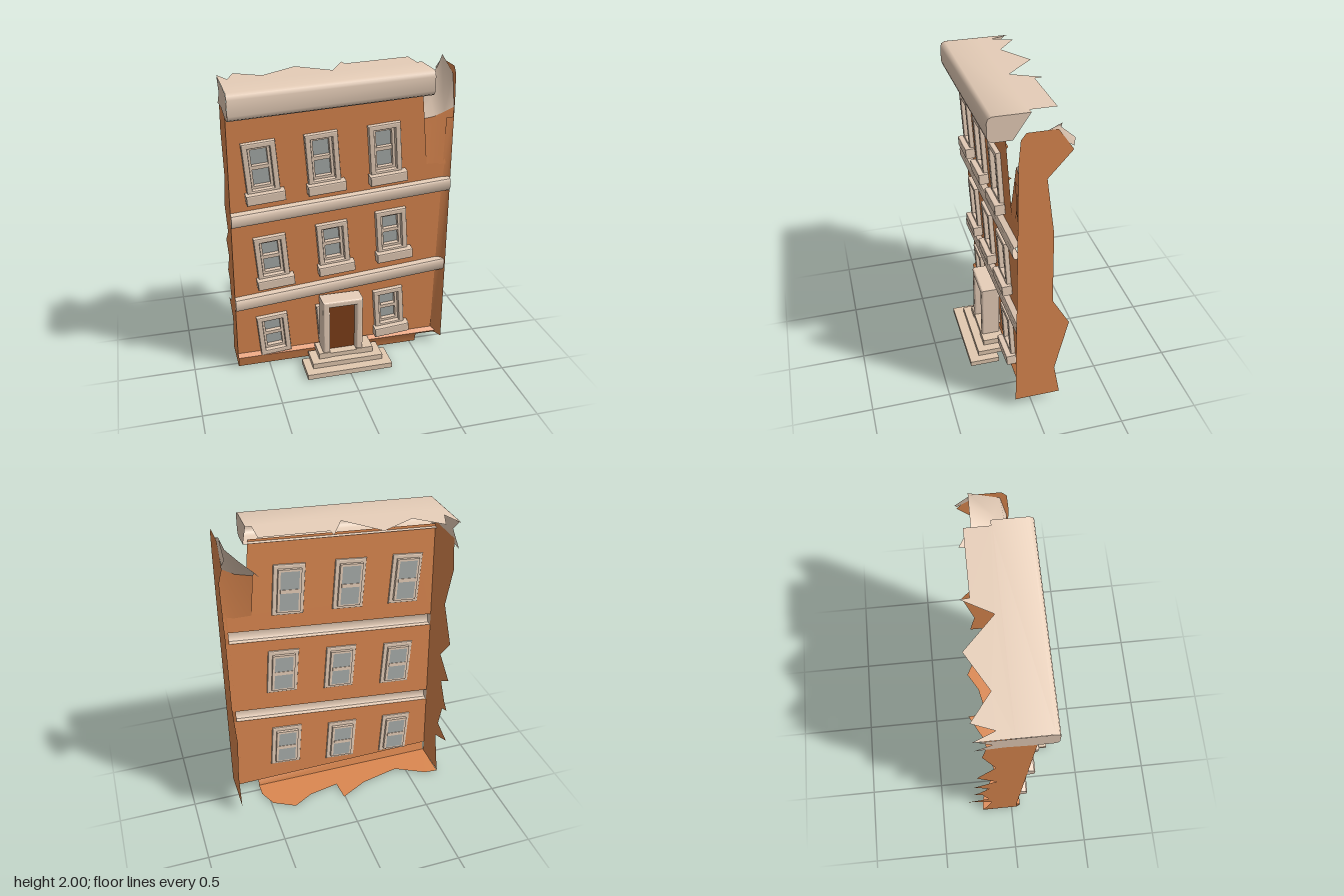
import * as THREE from 'three';
import { toCreasedNormals } from 'three/addons/utils/BufferGeometryUtils.js';

const paint = (name, color) => {
  const m = new THREE.MeshStandardMaterial({ color, side: THREE.DoubleSide });
  m.name = name;
  return m;
};
const brick = paint('orange brick', 0xdc8850);
const stone = paint('pale stone', 0xecd3bd);
const stepStone = paint('step stone', 0xe2c9b0);
const pane = paint('grey glass', 0xa9aeab);
const wood = paint('dark door wood', 0x7c3e18);

const LEAN = 0.085; // tilt of the windows
const shapeOf = pts => new THREE.Shape(pts.map(p => new THREE.Vector2(p[0], p[1])));

function add(parent, name, geometry, material) {
  const mesh = new THREE.Mesh(geometry, material);
  mesh.name = name;
  parent.add(mesh);
  return mesh;
}

function block(parent, name, material, x0, x1, y0, y1, z0, z1) {
  const mesh = add(parent, name, new THREE.BoxGeometry(x1 - x0, y1 - y0, z1 - z0), material);
  mesh.position.set((x0 + x1) / 2, (y0 + y1) / 2, (z0 + z1) / 2);
  return mesh;
}

// Open skin through cross-sections with equal point counts
function loft(sections, crease = 0.7) {
  const n = sections[0].length, index = [];
  for (let i = 0; i < sections.length - 1; i++) {
    for (let j = 0; j < n - 1; j++) {
      const a = i * n + j, b = a + n;
      index.push(a, b, b + 1, a, b + 1, a + 1);
    }
  }
  const g = new THREE.BufferGeometry();
  g.setAttribute('position', new THREE.Float32BufferAttribute(sections.flat(2), 3));
  g.setIndex(index);
  return toCreasedNormals(g, crease);
}

// Upright sheet across x, outlined in (z, y)
function sideSheet(pts, x) {
  return new THREE.ShapeGeometry(shapeOf(pts)).rotateY(-Math.PI / 2).translate(x, 0, 0);
}

// Level sheet outlined in (x, z), with height given by a rule
function levelSheet(pts, height) {
  const g = new THREE.ShapeGeometry(shapeOf(pts)).rotateX(Math.PI / 2);
  const p = g.attributes.position;
  for (let i = 0; i < p.count; i++) p.setY(i, height(p.getX(i)));
  g.computeVertexNormals();
  return g;
}

const rect = (w, h) => [[-w / 2, -h / 2], [w / 2, -h / 2], [w / 2, h / 2], [-w / 2, h / 2]];

function ring(w, h, border, depth, bevel) {
  const s = shapeOf(rect(w, h));
  s.holes.push(shapeOf(rect(w - 2 * border, h - 2 * border)));
  return new THREE.ExtrudeGeometry(s, {
    depth, bevelEnabled: bevel > 0, bevelSize: bevel, bevelThickness: bevel, bevelOffset: -bevel, bevelSegments: 2
  });
}

function makeWindow(x, y, h, sill) {
  const g = new THREE.Group();
  g.name = 'window';
  g.position.set(x, y, 0);
  g.rotation.z = LEAN;
  add(g, 'windowFrame', ring(0.205, h, 0.035, 0.025, 0.008), stone).position.z = -0.003;
  add(g, 'sash', ring(0.15, h - 0.055, 0.024, 0.03, 0), stone).position.z = -0.03;
  block(g, 'sashRail', stone, -0.06, 0.06, -0.012, 0.012, -0.036, -0.004);
  // Two panes, set behind the sash
  const paneHeight = (h - 0.1) / 2;
  for (const side of [-1, 1]) {
    add(g, 'glass', new THREE.PlaneGeometry(0.12, paneHeight), pane).position.set(0, side * (paneHeight / 2 + 0.01), -0.033);
  }
  if (sill) {
    const s = shapeOf(rect(0.225, 0.05));
    const geo = new THREE.ExtrudeGeometry(s, { depth: 0.05, bevelSize: 0.008, bevelThickness: 0.008, bevelSegments: 2 });
    add(g, 'sill', geo, stone).position.set(0.005, -h / 2 - 0.012, 0.009);
  }
  return g;
}

export function createModel() {
  const model = new THREE.Group();
  model.name = 'ruinedTownhouse';

  // Front wall leaning gently forward, one panel per storey
  const facade = new THREE.Group();
  facade.name = 'facade';
  facade.position.z = 0.03;
  facade.rotation.x = 0.05;
  model.add(facade);
  const storeys = [
    { outline: [[-0.71, 0.08], [0.705, 0.06], [0.705, 0.592], [-0.71, 0.46]], h: 0.3,
      windows: [[-0.465, 0.236, false], [-0.065, 0.27, false], [0.33, 0.323, true]] },
    { outline: [[-0.71, 0.54], [0.705, 0.672], [0.705, 1.18], [-0.71, 1.065]], h: 0.31,
      windows: [[-0.465, 0.82, true], [-0.065, 0.868, true], [0.325, 0.915, true]] },
    { outline: [[-0.71, 1.145], [0.705, 1.26], [0.705, 1.36], [0.545, 1.36], [0.49, 1.85], [-0.71, 1.785]], h: 0.34,
      windows: [[-0.515, 1.44, true], [-0.135, 1.465, true], [0.26, 1.49, true]] }
  ];
  for (const { outline, h, windows } of storeys) {
    const s = shapeOf(outline);
    for (const [x, y, sill] of windows) {
      const hole = rect(0.15, h - 0.055).map(p => new THREE.Vector2(...p).rotateAround(new THREE.Vector2(), LEAN));
      s.holes.push(new THREE.Path(hole.map(p => p.add(new THREE.Vector2(x, y)))));
      facade.add(makeWindow(x, y, h, sill));
    }
    add(facade, 'frontWall', new THREE.ShapeGeometry(s), brick);
  }

  // Sloping string courses, hollow behind and closed at the outer end
  for (const [left, right] of [[0.5, 0.63], [1.105, 1.22]]) {
    const profile = y => [[0, y - 0.045], [0.036, y - 0.04], [0.045, y - 0.025], [0.045, y + 0.025], [0.036, y + 0.038], [0, y + 0.045]];
    const section = (x, y) => profile(y).map(([z, py]) => [x, py, z]);
    add(facade, 'stringCourse', loft([section(-0.71, left), section(0.7, right)]), stone);
    add(facade, 'stringCourseEnd', sideSheet(profile(left), -0.71), stone);
  }

  // Broken side walls
  add(model, 'rightSideWall', sideSheet([[0.035, 0.0], [0.035, 0.1], [0.12, 1.8], [-0.15, 1.8], [-0.18, 1.6],
    [-0.105, 1.32], [-0.225, 1.09], [-0.105, 0.94], [-0.25, 0.82], [-0.15, 0.75], [-0.22, 0.63], [-0.265, 0.585],
    [-0.2, 0.555], [-0.16, 0.4], [-0.3, 0.35], [-0.14, 0.28], [-0.18, 0.1], [-0.21, 0.01]], -0.71), brick);
  add(model, 'leftSideWall', sideSheet([[0.11, 0.06], [0.11, 1.8], [0.1, 1.93], [0.07, 1.97], [-0.1, 1.97],
    [-0.19, 1.84], [-0.05, 1.68], [-0.1, 1.32], [-0.11, 0.83], [-0.22, 0.64], [-0.14, 0.28], [-0.18, 0.06]], 0.706), brick);

  // Curved corner joining the front to the left side wall
  add(model, 'cornerStrip', loft([0.06, 0.6, 1.2, 1.66].map(y => {
    const z = 0.03 + 0.05 * y;
    return [[0.655, y, z], [0.685, y, z + (0.11 - z) * 0.35], [0.706, y, 0.11]];
  }), 1.2), brick);

  // Torn corner: brick below, bare stone sweeping up and back
  const tornBrick = [
    [[0.5, 1.35, 0.096], [0.485, 1.64, 0.06]],
    [[0.6, 1.35, 0.097], [0.59, 1.66, 0.075]],
    [[0.706, 1.35, 0.1], [0.706, 1.72, 0.1]]
  ];
  const tornStone = [
    [[0.485, 1.64, 0.06], [0.49, 1.7, -0.02], [0.5, 1.76, -0.2]],
    [[0.59, 1.66, 0.075], [0.59, 1.75, 0.0], [0.59, 1.83, -0.12]],
    [[0.65, 1.69, 0.088], [0.66, 1.81, 0.02], [0.67, 1.92, -0.12]],
    [[0.706, 1.72, 0.1], [0.703, 1.92, 0.06], [0.7, 2.0, -0.12]]
  ];
  add(model, 'tornBrickCorner', loft(tornBrick, 1.2), brick);
  add(model, 'tornStoneCorner', loft(tornStone, 1.2), stone);
  add(model, 'tornFlap', loft([
    [[0.695, 1.99, -0.1], [0.69, 1.9, -0.2]],
    [[0.705, 1.96, -0.05], [0.705, 1.86, -0.19]]
  ]), stone);

  // Hollow cornice with a rounded front
  const rim = (lo, hi) => [[0.09, lo], [0.205, lo], [0.228, lo + 0.012], [0.235, lo + 0.035],
    [0.235, hi - 0.035], [0.228, hi - 0.012], [0.205, hi], [-0.01, hi]];
  const ends = [[-0.71, 1.765, 1.93], [0.525, 1.835, 1.988]];
  add(model, 'cornice', loft(ends.map(([x, lo, hi]) => rim(lo, hi).map(([z, y]) => [x, y, z])), 1.0), stone);
  add(model, 'corniceRightEnd', sideSheet([...rim(1.765, 1.93), [-0.2, 1.93], [-0.12, 1.85], [-0.22, 1.76], [-0.05, 1.78]], -0.711), stone);
  add(model, 'corniceLeftEnd', sideSheet(rim(1.835, 1.988), 0.525), stone);

  // Roof sheet with a jagged back edge
  add(model, 'roof', levelSheet([[-0.71, 0], [-0.71, -0.225], [-0.66, -0.095], [-0.61, -0.225], [-0.45, -0.1],
    [-0.225, -0.23], [-0.03, -0.04], [0.07, -0.22], [0.075, -0.165], [0.49, -0.165], [0.49, -0.01], [0.525, -0.01], [0.525, 0]],
    x => 1.93 + 0.047 * (x + 0.71)), stone);

  // Base lip, stepping up at its left end, and jagged floor
  add(model, 'baseLip', loft([[-0.71, 0.004], [0.54, 0.004], [0.542, 0.058], [0.7, 0.055]].map(([x, y]) => [
    [x, 0.1, 0.035], [x, 0.078, 0.06], [x, y, 0.04]
  ])), brick);
  add(model, 'floor', levelSheet([[-0.71, 0.04], [-0.71, -0.21], [-0.62, -0.2], [-0.43, -0.1], [-0.17, -0.16],
    [0.01, -0.255], [0.02, -0.12], [0.22, -0.16], [0.35, -0.235], [0.49, -0.16], [0.54, -0.05], [0.54, 0.04]],
    () => 0.004), brick);

  // Entrance: door, surround, plinths and steps
  const entrance = new THREE.Group();
  entrance.name = 'entrance';
  model.add(entrance);
  block(entrance, 'door', wood, -0.115, 0.075, 0.1, 0.45, 0.11, 0.13);
  const surround = shapeOf([[-0.157, 0.075], [-0.11, 0.075], [-0.11, 0.445], [0.07, 0.445], [0.07, 0.075],
    [0.115, 0.075], [0.115, 0.488], [-0.157, 0.488]]);
  add(entrance, 'doorSurround', new THREE.ExtrudeGeometry(surround, {
    depth: 0.099, bevelSize: 0.012, bevelThickness: 0.012, bevelOffset: -0.012, bevelSegments: 3
  }), stone).position.z = 0.072;
  block(entrance, 'plinth', stepStone, -0.188, -0.11, 0.07, 0.11, 0.05, 0.19);
  block(entrance, 'plinth', stepStone, 0.07, 0.182, 0.07, 0.11, 0.05, 0.19);
  block(entrance, 'topStep', stepStone, -0.12, 0.08, 0.07, 0.1, 0.05, 0.185);
  block(entrance, 'middleStep', stepStone, -0.24, 0.237, 0.035, 0.07, 0.08, 0.24);
  block(entrance, 'bottomStep', stepStone, -0.29, 0.287, 0, 0.035, 0.11, 0.305);

  return model;
}
